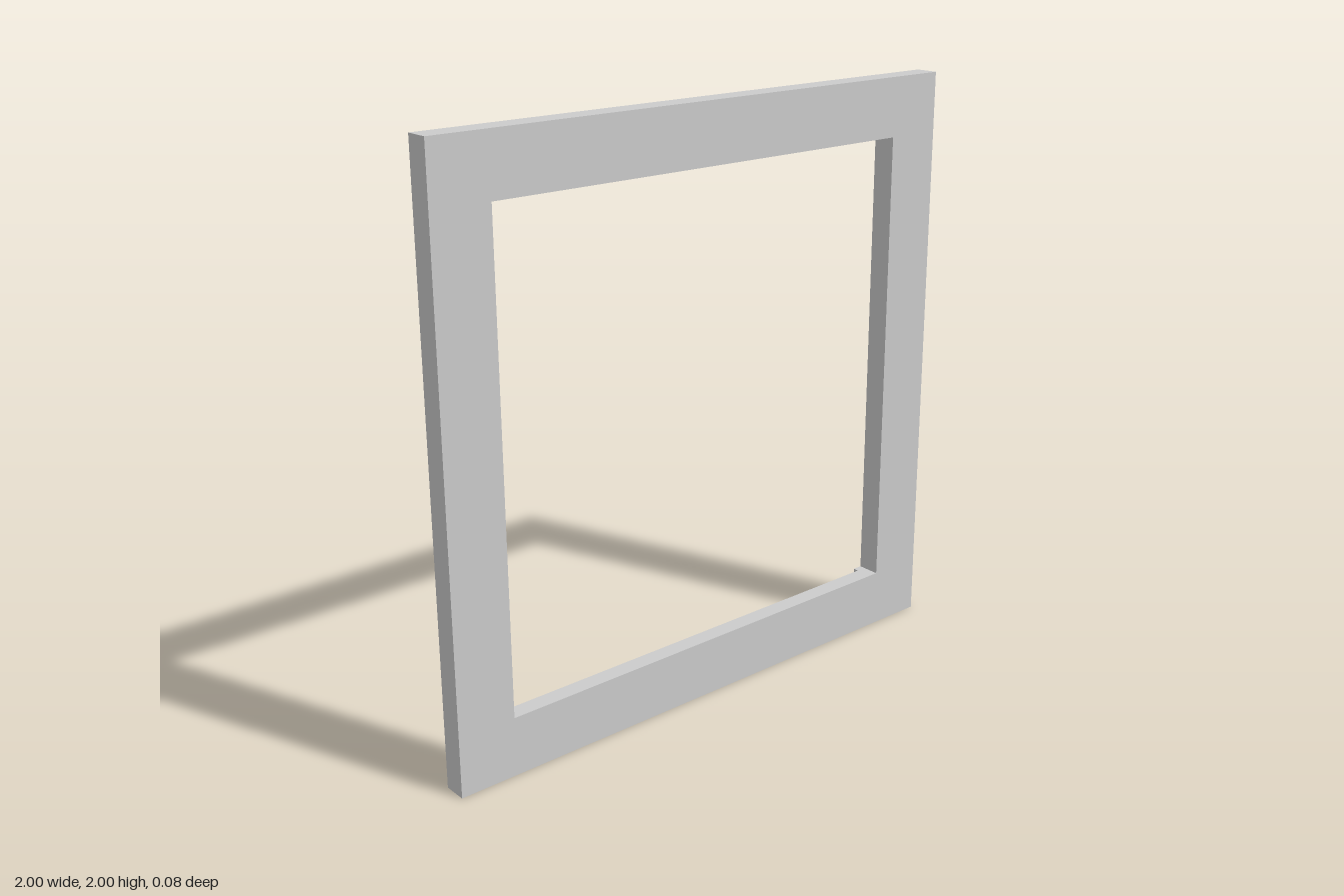
import * as THREE from 'three';

const OUTER = 1;        // half width of the frame
const INNER = 0.8;      // half width of the opening
const DEPTH = 0.08;
const RECESS_DEPTH = 0.02;
const RECESS_HALF = 0.765;
const RECESS_BOTTOM = 0.08;

const toPoints = (pairs) => pairs.map(([x, y]) => new THREE.Vector2(x, y));

// Square ring with the given opening, extruded from zBack to zFront
function frameLayer(name, opening, zBack, zFront, material) {
  const shape = new THREE.Shape(toPoints([[-OUTER, 0], [OUTER, 0], [OUTER, 2], [-OUTER, 2]]));
  shape.holes.push(new THREE.Path(toPoints(opening)));
  const geometry = new THREE.ExtrudeGeometry(shape, { depth: zFront - zBack, bevelEnabled: false });
  geometry.translate(0, 0, zBack);
  const mesh = new THREE.Mesh(geometry, material);
  mesh.name = name;
  return mesh;
}

export function createModel() {
  const group = new THREE.Group();
  group.name = 'squareFrame';
  const material = new THREE.MeshStandardMaterial({ color: 0xcccccc });

  const low = 1 - INNER, high = 1 + INNER;
  const back = -DEPTH / 2, split = back + RECESS_DEPTH, front = DEPTH / 2;

  // Main frame with a plain square opening
  const square = [[-INNER, low], [-INNER, high], [INNER, high], [INNER, low]];
  group.add(frameLayer('frontFrame', square, split, front, material));

  // Thin back layer, its opening lowered into a shallow recess in the bottom rail
  const notched = [
    ...square,
    [RECESS_HALF, low], [RECESS_HALF, RECESS_BOTTOM],
    [-RECESS_HALF, RECESS_BOTTOM], [-RECESS_HALF, low],
  ];
  group.add(frameLayer('recessedBackFrame', notched, back, split, material));

  return group;
}
